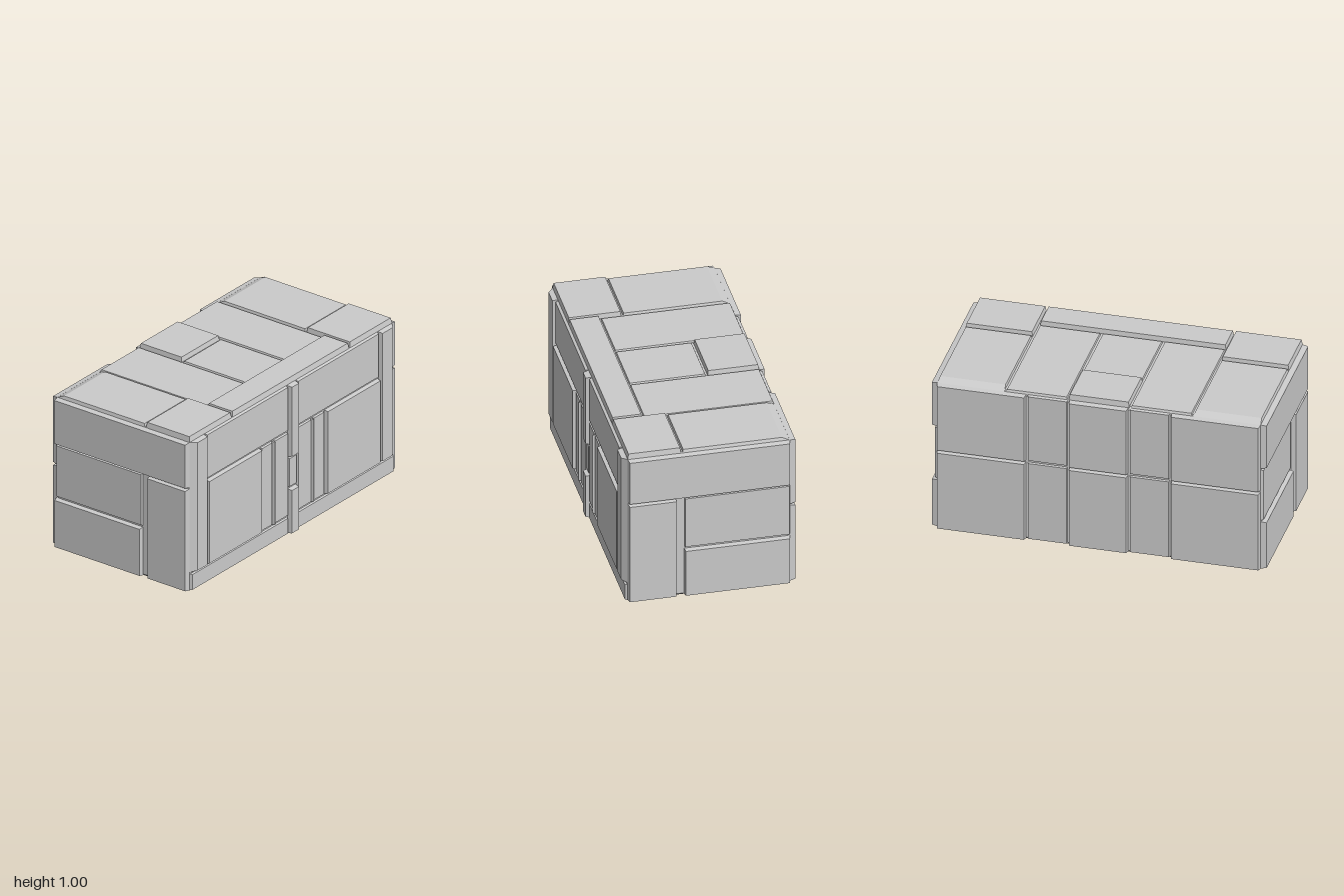
import * as THREE from 'three';

const HX = 0.97, HZ = 0.485, TOP = 0.97; // core half sizes and height
const HIGH = 0.03, LOW = 0.012;          // raised and shallow panel thickness
const TAPER = 0.006, GAP = 0.004;

const material = new THREE.MeshStandardMaterial({ color: 0xcccccc, flatShading: true });

// Tapered slab on the local xy plane; ramp = extra inset of one edge { left, right, top }
function panel(group, name, x0, x1, y0, y1, h, ramp = {}) {
  const g = new THREE.BoxGeometry(1, 1, 1);
  const p = g.attributes.position;
  for (let i = 0; i < p.count; i++) {
    const outer = p.getZ(i) > 0;
    const t = (side) => GAP + (outer ? TAPER + (ramp[side] || 0) : 0);
    p.setXYZ(i,
      p.getX(i) < 0 ? x0 + t('left') : x1 - t('right'),
      p.getY(i) < 0 ? y0 + t('bottom') : y1 - t('top'),
      outer ? h : -0.005);
  }
  g.computeVertexNormals();
  const mesh = new THREE.Mesh(g, material);
  mesh.name = name;
  group.add(mesh);
}

// Solid body with every edge chamfered
function buildCore() {
  const c = 0.015, a = HX - c, b = HZ - c, k = 0.008;
  const shape = new THREE.Shape([
    [a, -b + k], [a, b - k], [a - k, b], [-a + k, b],
    [-a, b - k], [-a, -b + k], [-a + k, -b], [a - k, -b],
  ].map(([x, y]) => new THREE.Vector2(x, y)));
  const g = new THREE.ExtrudeGeometry(shape, {
    depth: TOP - 2 * c, bevelEnabled: true, bevelSegments: 1, bevelSize: c, bevelThickness: c,
  });
  g.rotateX(-Math.PI / 2).translate(0, c, 0);
  const mesh = new THREE.Mesh(g, material);
  mesh.name = 'core';
  return mesh;
}

function buildFront() {
  const f = new THREE.Group();
  f.name = 'frontPanels';
  f.position.z = HZ;
  for (const s of [-1, 1]) {
    const add = (name, a, b, y0, y1, h, outerRamp = 0) =>
      panel(f, name, Math.min(s * a, s * b), Math.max(s * a, s * b), y0, y1, h,
        { [s > 0 ? 'right' : 'left']: outerRamp });
    add('baseStrip', 0.04, 0.97, 0.005, 0.123, LOW);
    add('upperPanel', 0.04, 0.825, 0.672, 0.97, LOW);
    add('cornerColumn', 0.825, 0.97, 0.123, 0.97, 0.027, 0.03);
    add('doorPanel', 0.305, 0.825, 0.123, 0.672, 0.027);
    add('narrowPanel', 0.19, 0.305, 0.123, 0.672, LOW);
    add('innerPanel', 0.04, 0.18, 0.123, 0.672, LOW);
    add('doorTrim', 0.172, 0.196, 0.123, 0.672, 0.024);
  }
  // Central post with a recessed middle
  panel(f, 'postBottom', -0.043, 0.043, 0.005, 0.302, HIGH);
  panel(f, 'postMiddle', -0.043, 0.043, 0.302, 0.502, LOW);
  panel(f, 'postTop', -0.043, 0.043, 0.502, 0.97, HIGH);
  return f;
}

function buildBack() {
  const f = new THREE.Group();
  f.name = 'backPanels';
  f.position.z = -HZ;
  f.rotation.y = Math.PI;
  const xs = [-0.97, -0.43, -0.18, 0.18, 0.43, 0.97];
  const ys = [0.003, 0.525, 0.97];
  for (let i = 0; i < 5; i++) {
    for (let j = 0; j < 2; j++) {
      panel(f, 'backPanel', xs[i], xs[i + 1], ys[j], ys[j + 1], i % 2 ? LOW : HIGH);
    }
  }
  return f;
}

function buildSide(s) {
  const f = new THREE.Group();
  f.name = s > 0 ? 'leftSidePanels' : 'rightSidePanels';
  f.position.x = s * HX;
  f.rotation.y = s * Math.PI / 2;
  const add = (name, z0, z1, y0, y1, h) =>
    s > 0 ? panel(f, name, -z1, -z0, y0, y1, h) : panel(f, name, z0, z1, y0, y1, h);
  add('sideTop', -0.485, 0.485, 0.67, 0.97, HIGH);
  add('sideFront', 0.19, 0.485, 0.005, 0.67, HIGH);
  add('sideMiddle', -0.485, 0.152, 0.324, 0.67, LOW);
  add('sideBottom', -0.485, 0.152, 0.003, 0.324, HIGH);
  return f;
}

function buildTop() {
  const f = new THREE.Group();
  f.name = 'topPanels';
  f.position.y = TOP;
  f.rotation.x = -Math.PI / 2;
  // Local y runs toward the back
  for (const s of [-1, 1]) {
    const add = (name, a, b, z0, z1, h, ramp) =>
      panel(f, name, Math.min(s * a, s * b), Math.max(s * a, s * b), -z1, -z0, h, ramp);
    add('cornerFrontPanel', 0.56, 0.97, 0.16, 0.485, HIGH);
    add('cornerBackPanel', 0.56, 0.97, -0.485, 0.16, 0.016, { top: 0.04 });
    add('middlePanel', 0.185, 0.56, -0.485, 0.295, 0.01);
  }
  panel(f, 'frontStrip', -0.56, 0.56, -0.485, -0.295, HIGH);
  panel(f, 'centrePanel', -0.185, 0.185, -0.295, 0.17, 0.01);
  panel(f, 'centreBackPanel', -0.185, 0.185, 0.17, 0.485, HIGH);
  return f;
}

export function createModel() {
  const model = new THREE.Group();
  model.name = 'panelledCrate';
  model.add(buildCore(), buildFront(), buildBack(), buildSide(1), buildSide(-1), buildTop());
  return model;
}
